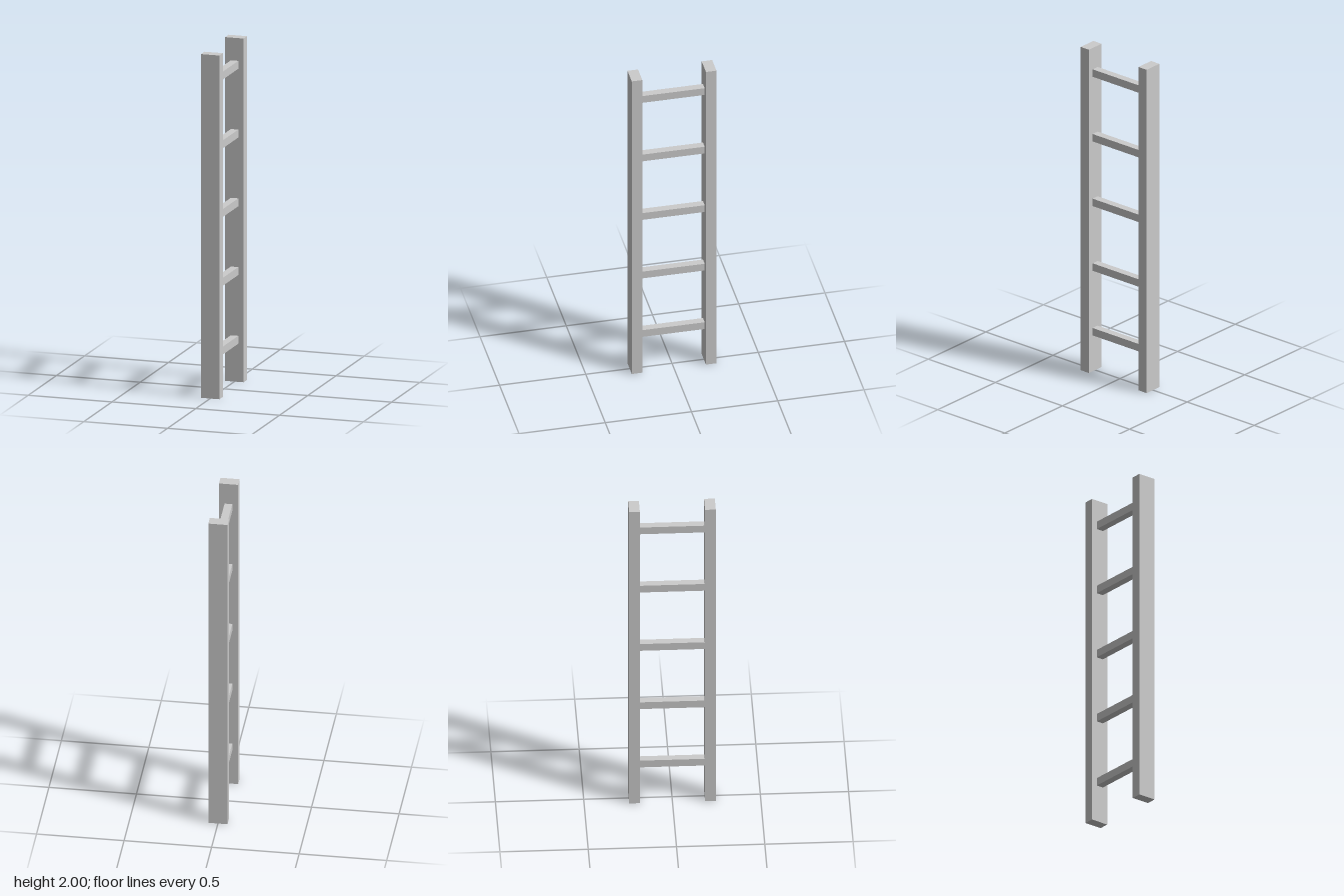
import * as THREE from 'three';

export function createModel() {
  const group = new THREE.Group();
  const material = new THREE.MeshStandardMaterial({ color: 0xcccccc, flatShading: true });

  const addBox = (name, size, position) => {
    const mesh = new THREE.Mesh(new THREE.BoxGeometry(...size), material);
    mesh.name = name;
    mesh.position.set(...position);
    group.add(mesh);
  };

  // Two upright side rails
  for (const side of [1, -1]) {
    addBox(side > 0 ? 'frontRail' : 'backRail', [0.11, 2, 0.061], [0, 1, side * 0.215]);
  }

  // Five evenly spaced square rungs between the rails
  for (let i = 0; i < 5; i++) {
    addBox(`rung${i + 1}`, [0.044, 0.046, 0.369], [0.001, 0.245 + i * 0.4, 0]);
  }

  return group;
}
